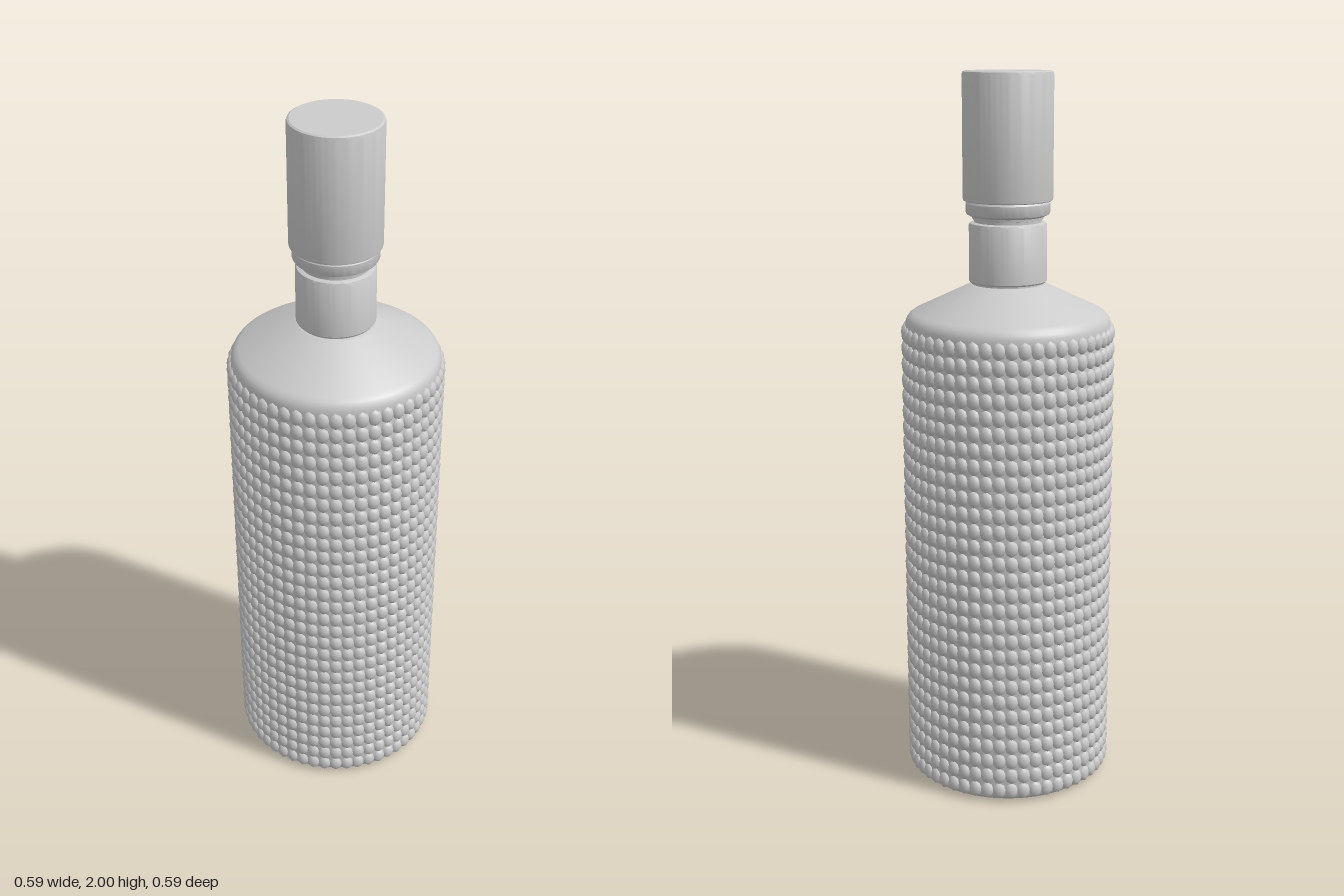
import * as THREE from 'three';
import { mergeGeometries, toCreasedNormals } from 'three/addons/utils/BufferGeometryUtils.js';

const material = new THREE.MeshStandardMaterial({ color: 0xcccccc });

// Turned part from [radius, height] pairs listed bottom to top
function turned(name, profile) {
  const points = profile.map(([r, y]) => new THREE.Vector2(r, y));
  const geometry = toCreasedNormals(new THREE.LatheGeometry(points, 96), 0.5);
  const mesh = new THREE.Mesh(geometry, material);
  mesh.name = name;
  return mesh;
}

// Grid of small faceted domes wrapped around the body
function studs() {
  const columns = 52, rows = 29, bottom = 0.034, top = 1.298;
  const dome = new THREE.SphereGeometry(1, 8, 3, 0, Math.PI * 2, 0, Math.PI / 2);
  dome.rotateX(Math.PI / 2); // dome points along +z
  dome.scale(0.0195, 0.025, 0.0145);
  dome.translate(0, 0, 0.2825);
  const parts = [];
  for (let c = 0; c < columns; c++) {
    const column = dome.clone().rotateY(((c + 0.5) / columns) * Math.PI * 2);
    for (let r = 0; r < rows; r++) {
      parts.push(column.clone().translate(0, bottom + ((top - bottom) * r) / (rows - 1), 0));
    }
  }
  const mesh = new THREE.Mesh(mergeGeometries(parts), material);
  mesh.name = 'studs';
  return mesh;
}

export function createModel() {
  const group = new THREE.Group();
  group.name = 'bottle';

  // Body with rounded foot and sloping shoulder
  group.add(turned('body', [
    [0, 0], [0.262, 0], [0.272, 0.003], [0.28, 0.01], [0.284, 0.02], [0.285, 0.03],
    [0.285, 1.315], [0.284, 1.328], [0.28, 1.339], [0.273, 1.348], [0.262, 1.356],
    [0.11, 1.428], [0.1, 1.432], [0, 1.432],
  ]));
  group.add(studs());

  // Neck, with a thin gap at its foot
  group.add(turned('neck', [
    [0.099, 1.425], [0.099, 1.437], [0.104, 1.437], [0.107, 1.441],
    [0.107, 1.592], [0.104, 1.598], [0.098, 1.601], [0, 1.601],
  ]));

  // Stopper: narrow stem, lip and collar
  group.add(turned('stopperCollar', [
    [0.092, 1.59], [0.092, 1.608], [0.097, 1.609], [0.098, 1.616], [0.106, 1.619],
    [0.112, 1.622], [0.115, 1.628], [0.115, 1.652], [0.112, 1.657], [0.112, 1.67], [0, 1.67],
  ]));

  // Tall cap with softened rims
  group.add(turned('cap', [
    [0, 1.658], [0.118, 1.658], [0.122, 1.66], [0.123, 1.665],
    [0.123, 1.991], [0.121, 1.997], [0.116, 2], [0, 2],
  ]));

  return group;
}
